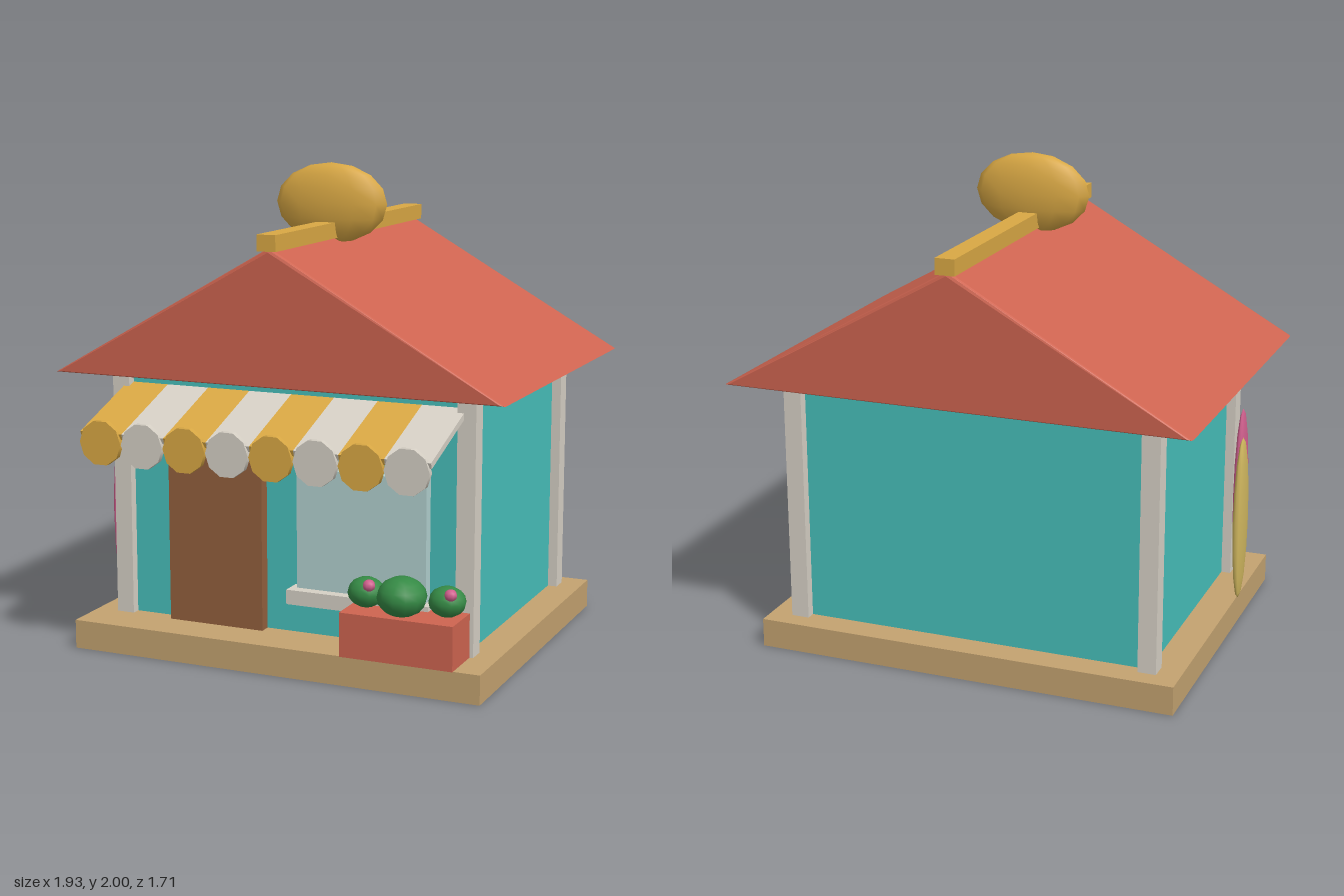
import * as THREE from 'three';

const paint = (name, color) => {
  const m = new THREE.MeshStandardMaterial({ color });
  m.name = name;
  return m;
};

export function createModel() {
  const teal = paint('teal', 0x47bfba);
  const coral = paint('coral', 0xce6450);
  const cream = paint('cream', 0xd6d0c5);
  const gold = paint('gold', 0xd9a844);
  const sand = paint('sand', 0xc3a270);
  const brown = paint('brown', 0x925f3d);
  const glass = paint('glass', 0xb1d0cf);
  const green = paint('green', 0x358a45);
  const pink = paint('pink', 0xd0608e);
  const straw = paint('straw', 0xcfb65e);

  const model = new THREE.Group();
  model.name = 'beachShop';

  const add = (name, geometry, material, x = 0, y = 0, z = 0) => {
    const mesh = new THREE.Mesh(geometry, material);
    mesh.name = name;
    mesh.position.set(x, y, z);
    model.add(mesh);
    return mesh;
  };
  // Box given by its lower and upper limits on each axis
  const box = (name, material, [x0, x1], [y0, y1], [z0, z1]) =>
    add(name, new THREE.BoxGeometry(x1 - x0, y1 - y0, z1 - z0), material,
      (x0 + x1) / 2, (y0 + y1) / 2, (z0 + z1) / 2);
  // Stretched sphere
  const blob = (name, material, [x, y, z], [rx, ry, rz], w = 12, h = 8) =>
    add(name, new THREE.SphereGeometry(1, w, h).scale(rx, ry, rz), material, x, y, z);

  // Platform, walls and corner posts
  box('platform', sand, [-0.89, 0.89], [0, 0.12], [-0.75, 0.685]);
  box('walls', teal, [-0.755, 0.755], [0.12, 1.165], [-0.63, 0.46]);
  for (const x of [-0.757, 0.757]) {
    for (const z of [-0.632, 0.46]) {
      box('cornerPost', cream, [x - 0.038, x + 0.038], [0.12, 1.165], [z - 0.038, z + 0.038]);
    }
  }

  // Gabled roof with a small bevel, ridge beam and ornament
  const gable = new THREE.Shape([
    new THREE.Vector2(-0.945, 1.165),
    new THREE.Vector2(0.945, 1.165),
    new THREE.Vector2(0, 1.69),
  ]);
  const roof = new THREE.ExtrudeGeometry(gable, {
    depth: 1.485, bevelSize: 0.015, bevelThickness: 0.015, bevelSegments: 2,
  });
  add('roof', roof, coral, 0, 0, -0.83);
  box('ridgeBeam', gold, [-0.04, 0.04], [1.695, 1.76], [-0.855, 0.685]);
  blob('roofOrnament', gold, [0, 1.835, 0.062], [0.247, 0.165, 0.07]);

  // Door, window and sill
  box('door', brown, [-0.535, -0.112], [0.12, 0.85], [0.45, 0.51]);
  box('windowPane', glass, [0.042, 0.598], [0.26, 0.815], [0.45, 0.505]);
  box('windowSill', cream, [0.015, 0.625], [0.26, 0.32], [0.45, 0.55]);

  // Striped awning with a scalloped edge
  const stripes = 8;
  const step = 1.49 / stripes;
  const slope = 0.343;
  for (let i = 0; i < stripes; i++) {
    const x = -0.745 + step * (i + 0.5);
    const material = i % 2 ? cream : gold;
    const stripe = add('awningStripe', new THREE.BoxGeometry(step, 0.025, 0.41), material, x, 1.022, 0.65);
    stripe.rotation.x = slope;
    const scallop = new THREE.CylinderGeometry(0.092, 0.092, 0.025, 10, 1, false, Math.PI / 2);
    scallop.rotateX(Math.PI / 2);
    add('awningScallop', scallop, material, x, 0.924, 0.843);
  }

  // Planter with bushes and flowers
  box('planter', coral, [0.308, 0.78], [0.12, 0.3], [0.5, 0.692]);
  blob('largeBush', green, [0.54, 0.37, 0.612], [0.1, 0.08, 0.1]);
  for (const x of [0.37, 0.71]) {
    blob('smallBush', green, [x, 0.357, 0.563], [0.076, 0.061, 0.07]);
    blob('flower', pink, [x + 0.03, 0.397, 0.608], [0.026, 0.024, 0.026], 8, 6);
  }

  // Surfboards standing beside the left-hand wall
  blob('frontSurfboard', pink, [-0.855, 0.525, 0.32], [0.025, 0.395, 0.08]);
  blob('rearSurfboard', straw, [-0.902, 0.49, 0.15], [0.025, 0.36, 0.084]);

  return model;
}
